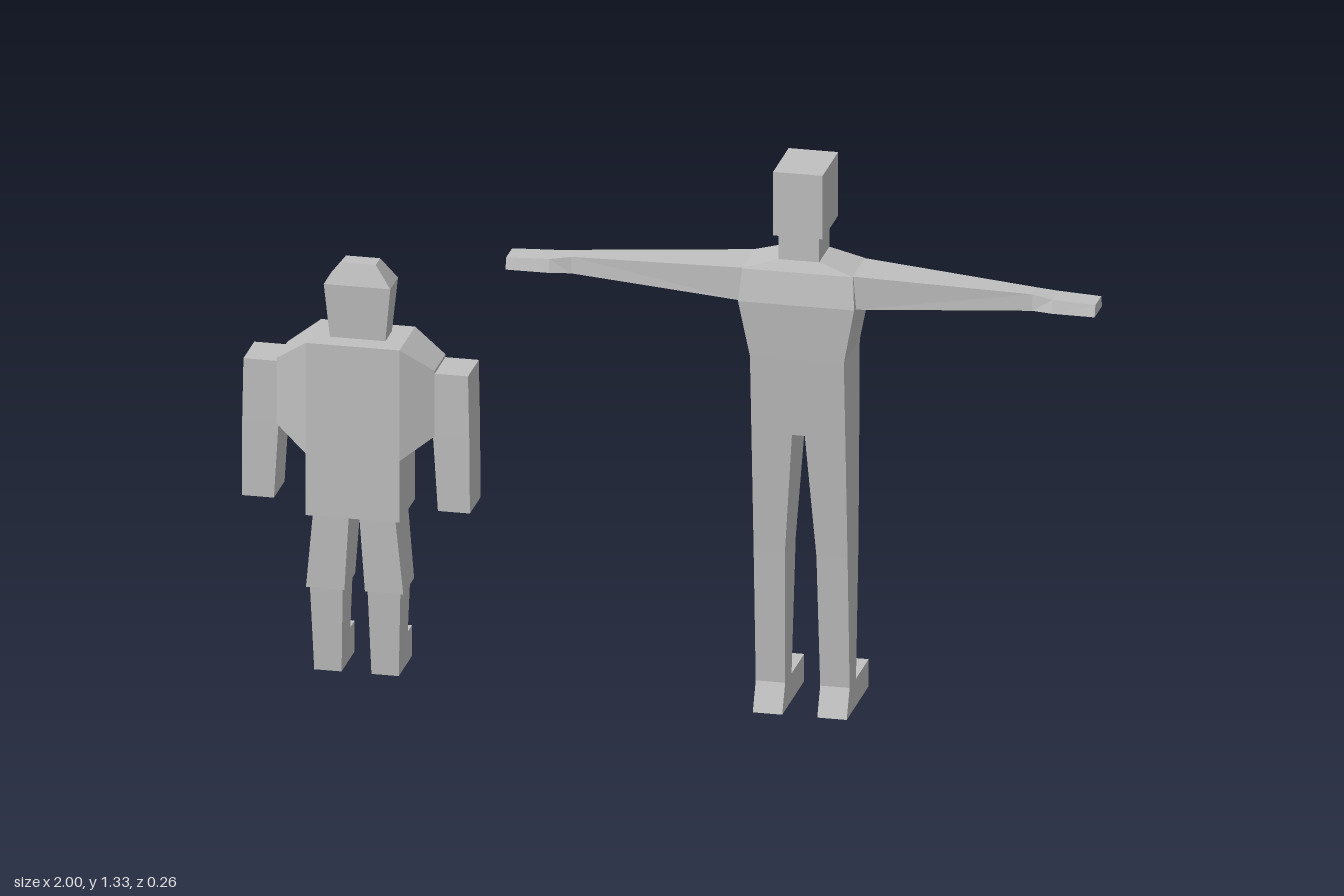
import * as THREE from 'three';

const clay = new THREE.MeshStandardMaterial({ color: 0xc0c0c0, flatShading: true });
clay.name = 'plain grey';

// Horizontal rectangle at height y
const level = (y, x0, x1, z0, z1) => [[x0, y, z0], [x0, y, z1], [x1, y, z1], [x1, y, z0]];
// Upright trapezoid at a given x: z range for the bottom edge, top edge inset
const slice = (x, y0, y1, z0, z1, inset = 0) =>
  [[x, y0, z0], [x, y0, z1], [x, y1, z1 - inset], [x, y1, z0 + inset]];

// Skin a stack of matching convex rings and cap both ends
function loft(name, rings, side = 1) {
  const tris = [];
  const n = rings[0].length;
  for (let r = 0; r < rings.length - 1; r++) {
    for (let i = 0; i < n; i++) {
      const j = (i + 1) % n, a = rings[r], b = rings[r + 1];
      tris.push([a[i], a[j], b[j]], [a[i], b[j], b[i]]);
    }
  }
  const first = rings[0], last = rings[rings.length - 1];
  for (let i = 1; i < n - 1; i++) {
    tris.push([first[0], first[i + 1], first[i]], [last[0], last[i], last[i + 1]]);
  }
  // Mirror, then turn the faces outward if the enclosed volume is negative
  const pts = tris.map(t => t.map(p => new THREE.Vector3(p[0] * side, p[1], p[2])));
  const volume = pts.reduce((s, [a, b, c]) => s + a.dot(b.clone().cross(c)), 0);
  if (volume < 0) pts.forEach(t => t.reverse());
  const geometry = new THREE.BufferGeometry().setFromPoints(pts.flat());
  geometry.computeVertexNormals();
  const mesh = new THREE.Mesh(geometry, clay);
  mesh.name = name;
  return mesh;
}

function tallFigure() {
  const g = new THREE.Group();
  g.name = 'tallFigure';
  g.add(loft('head', [level(1.175, -0.058, 0.058, -0.046, 0.112), level(1.33, -0.058, 0.058, -0.046, 0.112)]));
  g.add(loft('neck', [level(1.1, -0.048, 0.048, 0, 0.103), level(1.18, -0.048, 0.048, 0, 0.103)]));

  // Torso: height, half width, +z face, side edge z, chest z, chest half width
  const torso = [
    [0.69, 0.11, 0.107, -0.036, -0.036, 0.055],
    [0.88, 0.11, 0.122, -0.04, -0.041, 0.055],
    [1.015, 0.136, 0.131, -0.045, -0.077, 0.058],
    [1.09, 0.13, 0.116, -0.012, -0.03, 0.058],
    [1.115, 0.05, 0.103, 0, -0.001, 0.045],
  ].map(([y, w, front, edge, chest, c]) =>
    [[w, y, front], [w, y, edge], [c, y, chest], [-c, y, chest], [-w, y, edge], [-w, y, front]]);
  g.add(loft('torso', torso));

  for (const s of [1, -1]) {
    const tag = s > 0 ? 'left' : 'right';
    // Arm narrows to the wrist and widens to a flat hand
    g.add(loft(tag + 'Arm', [
      slice(0.11, 1.01, 1.092, -0.01, 0.112),
      slice(0.135, 1.01, 1.09, -0.01, 0.112),
      slice(0.54, 1.028, 1.067, 0.022, 0.075, 0.003),
      slice(0.59, 1.03, 1.061, 0.012, 0.089, 0.008),
      slice(0.69, 1.03, 1.057, 0.014, 0.09, 0.008),
    ], s));
    // Leg with a sloping heel
    g.add(loft(tag + 'Leg', [
      level(0, 0.041, 0.11, 0, 0.093),
      level(0.067, 0.041, 0.11, -0.002, 0.063),
      level(0.39, 0.037, 0.11, -0.027, 0.084),
      level(0.69, 0.015, 0.11, -0.036, 0.107),
    ], s));
    g.add(loft(tag + 'Foot', [level(0, 0.041, 0.11, -0.131, 0.01), level(0.066, 0.041, 0.11, -0.131, 0.01)], s));
  }
  return g;
}

function smallFigure() {
  const g = new THREE.Group();
  g.name = 'smallFigure';
  // Head with a bevelled crown
  g.add(loft('head', [
    level(0.81, -0.064, 0.064, -0.005, 0.06),
    level(0.95, -0.078, 0.078, -0.012, 0.067),
    level(1.0, -0.04, 0.04, 0.005, 0.05),
  ]));
  g.add(loft('torso', [level(0.4, -0.11, 0.11, -0.047, 0.112), level(0.82, -0.11, 0.11, -0.047, 0.112)]));

  for (const s of [1, -1]) {
    const tag = s > 0 ? 'left' : 'right';
    g.add(loft(tag + 'Shoulder', [
      slice(0.11, 0.55, 0.82, -0.047, 0.112),
      slice(0.185, 0.605, 0.765, -0.03, 0.08),
    ], s));
    g.add(loft(tag + 'Arm', [
      level(0.423, 0.192, 0.267, -0.03, 0.078),
      level(0.605, 0.181, 0.266, -0.03, 0.08),
      level(0.758, 0.181, 0.263, -0.03, 0.08),
    ], s));
    g.add(loft(tag + 'Thigh', [
      level(0.217, 0.024, 0.114, -0.019, 0.091),
      level(0.405, 0.012, 0.096, -0.03, 0.097),
    ], s));
    g.add(loft(tag + 'Shin', [
      level(0.01, 0.035, 0.099, -0.005, 0.072),
      level(0.22, 0.029, 0.106, -0.014, 0.086),
    ], s));
    g.add(loft(tag + 'Foot', [level(0.01, 0.035, 0.099, -0.062, 0.01), level(0.085, 0.035, 0.099, -0.062, 0.01)], s));
  }
  return g;
}

export function createModel() {
  const model = new THREE.Group();
  model.name = 'twoFigures';
  const tall = tallFigure();
  tall.position.x = 0.31;
  const small = smallFigure();
  small.position.x = -0.733;
  model.add(tall, small);
  return model;
}
